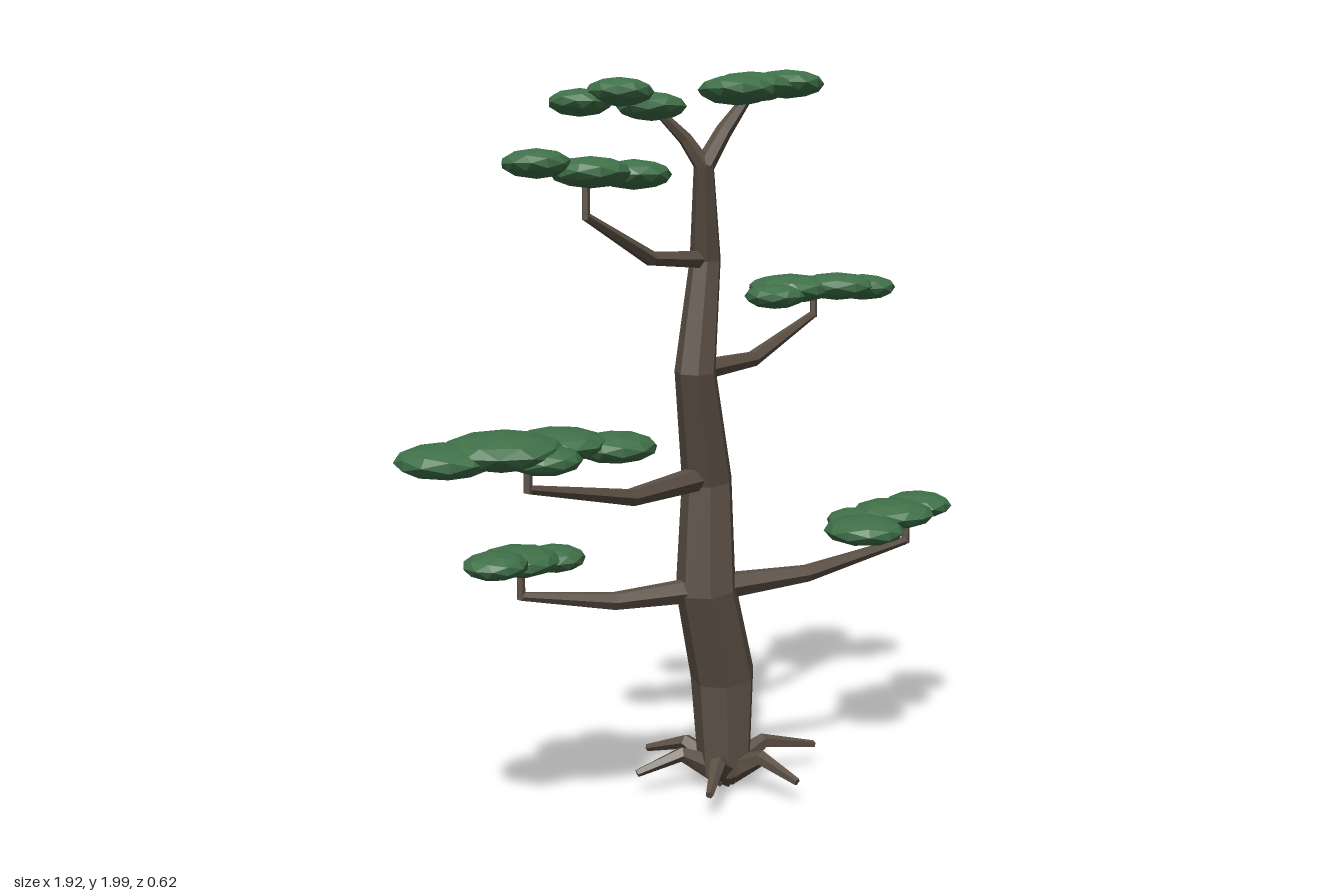
import * as THREE from 'three';

const bark = new THREE.MeshStandardMaterial({ color: 0x5c5045, flatShading: true });
const leaf = new THREE.MeshStandardMaterial({ color: 0x3f7048, flatShading: true });

// Tapered, bent limb through points [x, y, z, radius], with closed ends
function limb(name, points, sides) {
  const pos = [], index = [];
  const centres = points.map(p => new THREE.Vector3(p[0], p[1], p[2]));
  const last = points.length - 1;
  const span = centres[last].clone().sub(centres[0]).normalize();
  const ref = Math.abs(span.y) > 0.8 ? new THREE.Vector3(0, 0, 1) : new THREE.Vector3(0, 1, 0);
  centres.forEach((c, i) => {
    const t = centres[Math.min(i + 1, last)].clone().sub(centres[Math.max(i - 1, 0)]).normalize();
    const u = new THREE.Vector3().crossVectors(ref, t).normalize();
    const v = new THREE.Vector3().crossVectors(t, u);
    for (let k = 0; k < sides; k++) {
      const a = (k / sides) * Math.PI * 2;
      const p = c.clone().addScaledVector(u, Math.cos(a) * points[i][3]).addScaledVector(v, Math.sin(a) * points[i][3]);
      pos.push(p.x, p.y, p.z);
    }
  });
  for (let i = 0; i < last; i++) {
    for (let k = 0; k < sides; k++) {
      const a = i * sides + k, b = i * sides + (k + 1) % sides;
      index.push(a, b, b + sides, a, b + sides, a + sides);
    }
  }
  for (let k = 1; k < sides - 1; k++) {
    const e = last * sides;
    index.push(0, k + 1, k, e, e + k, e + k + 1);
  }
  const geo = new THREE.BufferGeometry();
  geo.setAttribute('position', new THREE.Float32BufferAttribute(pos, 3));
  geo.setIndex(index);
  geo.computeVertexNormals();
  const mesh = new THREE.Mesh(geo, bark);
  mesh.name = name;
  return mesh;
}

// Foliage pad: overlapping flattened low-poly blobs [x, y, z, radius]
function foliagePad(name, blobs) {
  const pad = new THREE.Group();
  pad.name = name;
  blobs.forEach(([x, y, z, r], i) => {
    const blob = new THREE.Mesh(new THREE.IcosahedronGeometry(1, 1), leaf);
    blob.name = 'foliageBlob';
    blob.scale.set(r, 0.022 + r * 0.16, r);
    blob.rotation.y = i * 1.3 + x * 5;
    blob.position.set(x, y, z);
    pad.add(blob);
  });
  return pad;
}

export function createModel() {
  const tree = new THREE.Group();
  tree.name = 'tree';

  // Winding trunk
  tree.add(limb('trunk', [
    [0.15, 0.05, -0.035, 0.075], [0.147, 0.33, -0.04, 0.092], [0.052, 0.6, -0.012, 0.085],
    [0.063, 0.9, -0.02, 0.07], [-0.035, 1.21, 0.033, 0.056], [0.005, 1.5, 0.03, 0.042],
    [-0.057, 1.75, 0.085, 0.026],
  ], 7));

  // Crown fork
  tree.add(limb('crownForkRight', [[-0.057, 1.74, 0.085, 0.024], [-0.1, 1.81, 0.06, 0.018], [-0.17, 1.88, 0.03, 0.011]], 6));
  tree.add(limb('crownForkLeft', [[-0.057, 1.74, 0.085, 0.026], [0.01, 1.83, 0.09, 0.022], [0.1, 1.93, 0.1, 0.012]], 6));

  // Surface roots: rise from the base, then dip to thin tips
  const roots = new THREE.Group();
  roots.name = 'roots';
  [[13, 0.31], [83, 0.25], [145, 0.26], [-154, 0.26], [-104, 0.26], [-50, 0.28]].forEach(([deg, reach]) => {
    const a = deg * Math.PI / 180;
    const at = (d, y, r) => [0.15 + Math.cos(a) * d, y, -0.035 + Math.sin(a) * d, r];
    roots.add(limb('root', [at(0.0, 0.045, 0.045), at(0.13, 0.112, 0.022), at(reach, 0.07, 0.011)], 5));
  });
  tree.add(roots);

  // Side branches, each ending in a short upright stem under its pad
  const branches = [
    { name: 'lowLeft', path: [[0.06, 0.6, -0.01, 0.04], [0.35, 0.61, 0.09, 0.025], [0.695, 0.665, 0.17, 0.012]], top: 0.73,
      pad: [[0.48, 0.73, 0.19, 0.115], [0.67, 0.745, 0.14, 0.12], [0.855, 0.74, 0.09, 0.1], [0.57, 0.73, 0.09, 0.09]] },
    { name: 'lowRight', path: [[0.06, 0.6, -0.01, 0.038], [-0.21, 0.595, -0.1, 0.025], [-0.455, 0.635, -0.19, 0.012]], top: 0.72,
      pad: [[-0.575, 0.745, -0.14, 0.085], [-0.445, 0.725, -0.21, 0.11], [-0.315, 0.71, -0.22, 0.085]] },
    { name: 'middleRight', path: [[0.05, 0.91, -0.02, 0.036], [-0.28, 0.905, 0.045, 0.024], [-0.655, 0.98, 0.09, 0.012]], top: 1.06,
      pad: [[-0.85, 1.065, 0.03, 0.12], [-0.72, 1.08, 0.08, 0.15], [-0.66, 1.06, 0.16, 0.09],
        [-0.54, 1.075, 0.07, 0.12], [-0.41, 1.06, 0.13, 0.105]] },
    { name: 'middleLeft', path: [[-0.03, 1.21, 0.03, 0.03], [0.22, 1.22, 0.0, 0.022], [0.51, 1.325, -0.035, 0.011]], top: 1.39,
      pad: [[0.34, 1.385, -0.03, 0.085], [0.45, 1.4, -0.07, 0.125], [0.56, 1.405, 0.01, 0.11], [0.645, 1.4, 0.035, 0.095]] },
    { name: 'highRight', path: [[0, 1.5, 0.03, 0.026], [-0.21, 1.51, 0.05, 0.02], [-0.455, 1.62, 0.08, 0.011]], top: 1.72,
      pad: [[-0.59, 1.745, 0.06, 0.085], [-0.465, 1.725, 0.11, 0.1], [-0.325, 1.72, 0.11, 0.095]] },
  ];
  for (const { name, path, top, pad } of branches) {
    const [x, y, z, r] = path[2];
    tree.add(limb(name + 'Branch', path, 6));
    tree.add(limb(name + 'Stem', [[x, y - 0.008, z, r], [x, top, z, r * 0.9]], 5));
    tree.add(foliagePad(name + 'Foliage', pad));
  }

  // Crown foliage
  tree.add(foliagePad('crownRightFoliage', [[-0.37, 1.895, -0.035, 0.08], [-0.31, 1.92, 0.045, 0.085], [-0.17, 1.89, 0.01, 0.09]]));
  tree.add(foliagePad('crownLeftFoliage', [[-0.02, 1.93, 0.165, 0.1], [0.11, 1.945, 0.09, 0.11], [0.255, 1.958, 0.085, 0.1]]));

  return tree;
}
